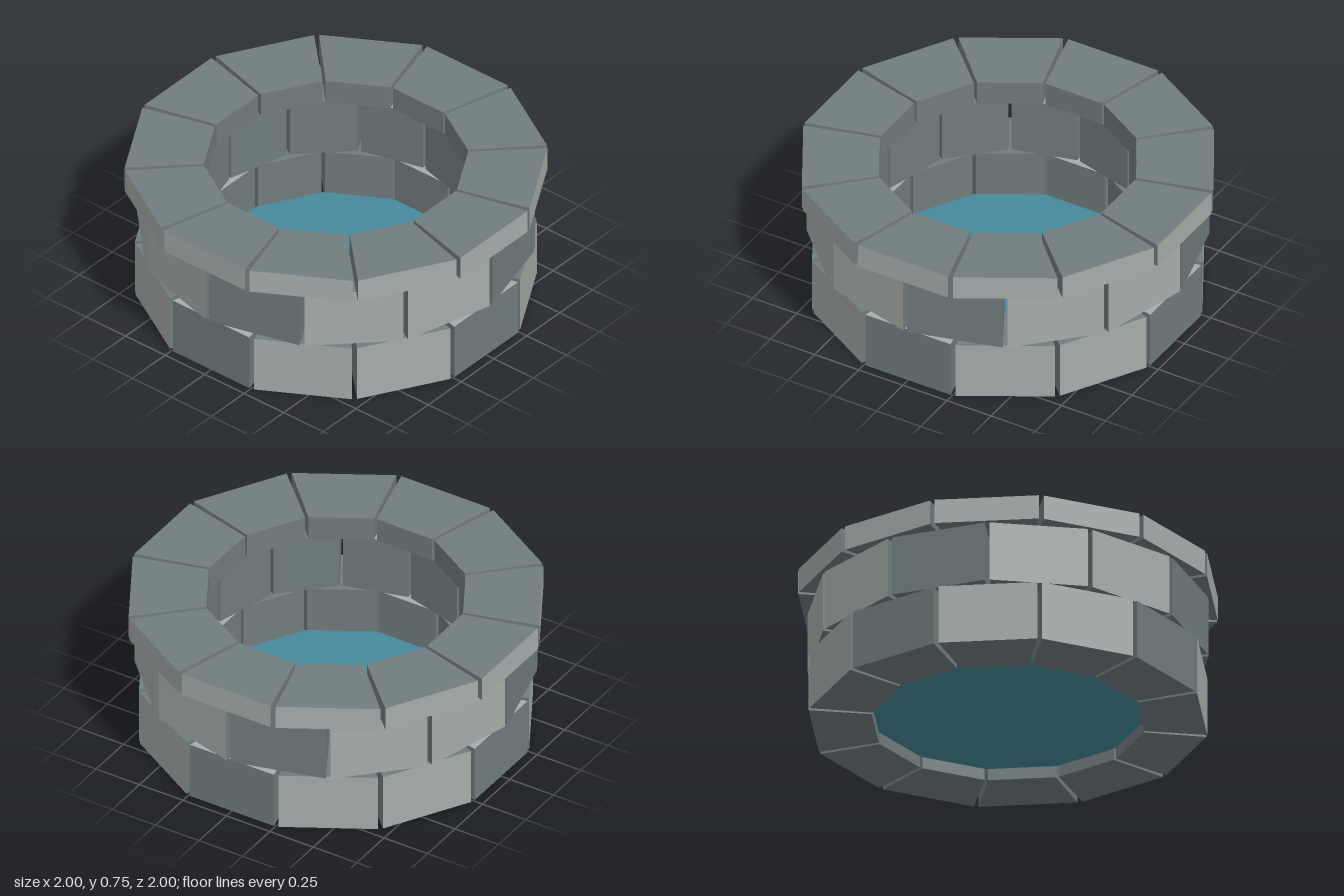
import * as THREE from 'three';

const SIDES = 12;
const HALF_SLOPE = 0.255; // half width of a block per unit of distance from the axis

// Wedge block: a box tapered toward the axis, outer face on +z
function wedge(inner, outer, y0, y1) {
  const geo = new THREE.BoxGeometry(1, 1, 1);
  const p = geo.attributes.position;
  for (let i = 0; i < p.count; i++) {
    const r = p.getZ(i) > 0 ? outer : inner;
    p.setXYZ(i, Math.sign(p.getX(i)) * r * HALF_SLOPE, p.getY(i) > 0 ? y1 : y0, r);
  }
  geo.computeVertexNormals();
  return geo;
}

export function createModel() {
  const model = new THREE.Group();
  model.name = 'stoneWell';

  const paleStone = new THREE.MeshStandardMaterial({ color: 0xa5ada9 });
  paleStone.name = 'paleStone';
  const slateStone = new THREE.MeshStandardMaterial({ color: 0x707c7e });
  slateStone.name = 'slateStone';
  const waterBlue = new THREE.MeshStandardMaterial({ color: 0x45899a, side: THREE.DoubleSide });
  waterBlue.name = 'waterBlue';

  // Face order: right, left, top, bottom, outer, inner
  const paleFront = [slateStone, slateStone, slateStone, slateStone, paleStone, slateStone];
  const paleTop = [slateStone, slateStone, paleStone, slateStone, slateStone, slateStone];

  // Three courses of blocks; the middle one is turned by half a block
  const courses = [
    { name: 'bottomCourse', inner: 0.65, outer: 0.95, y0: 0, y1: 0.303, turn: 0, mixed: true },
    { name: 'middleCourse', inner: 0.65, outer: 0.95, y0: 0.313, y1: 0.62, turn: 0.5, mixed: true },
    { name: 'rimCourse', inner: 0.625, outer: 1, y0: 0.62, y1: 0.745, turn: 0, mixed: false },
  ];
  for (const c of courses) {
    const course = new THREE.Group();
    course.name = c.name;
    const geo = wedge(c.inner, c.outer, c.y0, c.y1);
    for (let i = 0; i < SIDES; i++) {
      // Every third block of the lower courses is laid with its pale face up
      const block = new THREE.Mesh(geo, c.mixed && i % 3 === 0 ? paleTop : paleFront);
      block.name = 'stoneBlock';
      block.rotation.y = ((i + c.turn) * 2 * Math.PI) / SIDES;
      course.add(block);
    }
    model.add(course);
  }

  // Water surface filling the bottom course
  const water = new THREE.Mesh(
    new THREE.CircleGeometry(0.65 / Math.cos(Math.PI / SIDES), SIDES, Math.PI / SIDES),
    waterBlue
  );
  water.name = 'water';
  water.rotation.x = -Math.PI / 2;
  water.position.y = 0.06;
  model.add(water);

  return model;
}
